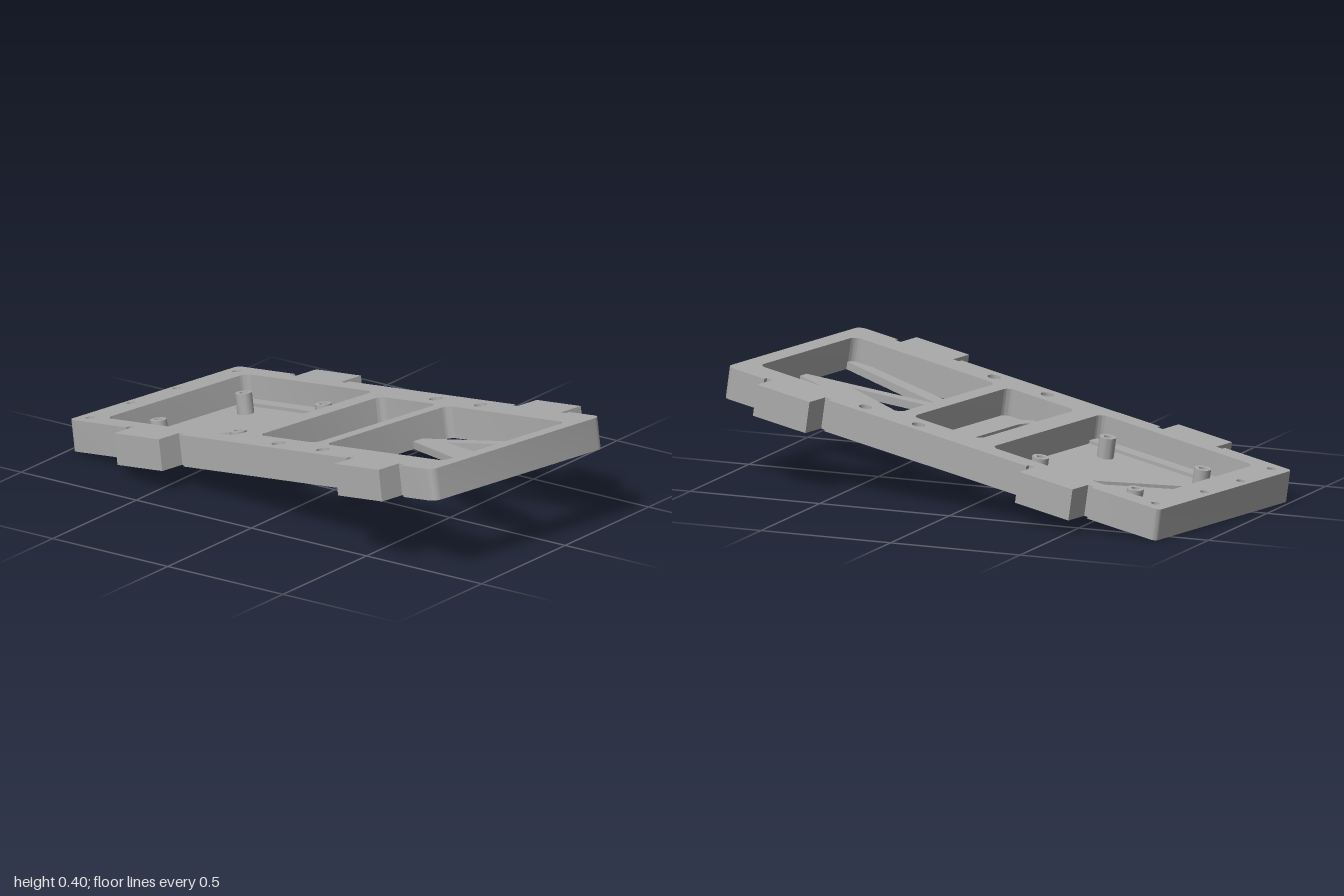
import * as THREE from 'three';
import { toCreasedNormals } from 'three/addons/utils/BufferGeometryUtils.js';

const L = 0.939, H = 0.409, TAB = 0.489, THICK = 0.115; // plate half length, half width, tab reach, thickness

export function createModel() {
  const grey = new THREE.MeshStandardMaterial({ color: 0xaaaaaa });
  grey.name = 'machined grey';
  const model = new THREE.Group();
  model.name = 'tiltedTray';

  // Extrudes a plan shape (x = length, y = width) upward from height y0
  const slab = (name, shape, y0, h) => {
    const geo = new THREE.ExtrudeGeometry(shape, { depth: h, bevelEnabled: false, curveSegments: 10 });
    geo.rotateX(Math.PI / 2).translate(0, y0 + h, 0);
    const mesh = new THREE.Mesh(toCreasedNormals(geo, 0.6), grey);
    mesh.name = name;
    model.add(mesh);
    return mesh;
  };
  const poly = (pts) => new THREE.Shape(pts.map(([x, y]) => new THREE.Vector2(x, y)));
  const disc = (x, y, r) => {
    const p = new THREE.Shape();
    p.absarc(x, y, r, 0, Math.PI * 2, false);
    return p;
  };
  const roundRect = (x0, x1, half, r) => {
    const s = new THREE.Shape();
    s.absarc(x1 - r, -half + r, r, -Math.PI / 2, 0, false);
    s.absarc(x1 - r, half - r, r, 0, Math.PI / 2, false);
    s.absarc(x0 + r, half - r, r, Math.PI / 2, Math.PI, false);
    s.absarc(x0 + r, -half + r, r, Math.PI, Math.PI * 1.5, false);
    s.closePath();
    return s;
  };

  // Frame outline: one long edge with rounded ends, tabs and relief notches, then mirrored
  const edge = [];
  const corner = (cx, start, r) => {
    for (let i = 0; i <= 5; i++) {
      const a = start + (i / 5) * Math.PI / 2;
      edge.push([cx + r * Math.cos(a), -H + r + r * Math.sin(a)]);
    }
  };
  const w = 0.025, d = 0.017;
  corner(-L + 0.02, Math.PI, 0.02);
  for (const [a, b] of [[-0.62, -0.388], [0.522, 0.75]]) {
    edge.push([a - w, -H], [a - w, -H + d], [a, -H + d], [a, -TAB],
      [b, -TAB], [b, -H + d], [b + w, -H + d], [b + w, -H]);
  }
  corner(L - 0.03, -Math.PI / 2, 0.03);
  const outline = poly([...edge, ...edge.map(([x, y]) => [x, -y]).reverse()]);

  // Three windows and the screw holes
  outline.holes.push(
    roundRect(-0.823, -0.16, 0.337, 0.03),
    roundRect(-0.079, 0.2135, 0.294, 0.03),
    roundRect(0.267, 0.879, 0.294, 0.03));
  for (const [x, y] of [[-0.885, -0.354], [-0.906, -0.084], [-0.906, 0.14], [-0.885, 0.357]])
    outline.holes.push(disc(x, y, 0.016));
  for (const [x, y] of [[0.144, -0.354], [0.375, -0.354], [0.0865, 0.354], [0.317, 0.354]])
    outline.holes.push(disc(x, y, 0.024));
  slab('frame', outline, 0, THICK);

  // Closed pocket: thin floor, raised Z-shaped rib, four hollow posts
  const postSpots = [];
  for (const x of [-0.697, -0.285]) for (const y of [-0.206, 0.206]) postSpots.push([x, y]);
  const floor = roundRect(-0.823, -0.16, 0.337, 0.03);
  postSpots.forEach(([x, y]) => floor.holes.push(disc(x, y, 0.014)));
  slab('pocketFloor', floor, 0, 0.016);
  slab('pocketRib', poly([
    [-0.823, -0.337], [-0.16, -0.337], [-0.16, -0.28], [-0.725, 0.284], [-0.16, 0.284],
    [-0.16, 0.337], [-0.823, 0.337], [-0.823, 0.3], [-0.265, -0.287], [-0.823, -0.287],
  ]), 0.016, 0.012);
  for (const [x, y] of postSpots) {
    const ring = disc(x, y, 0.03);
    ring.holes.push(disc(x, y, 0.014));
    slab('post', ring, 0.016, 0.075);
  }

  // Middle window: floor beside a round-ended slot, with a raised lip along the slot
  const slotFloor = new THREE.Shape();
  slotFloor.moveTo(0.095, -0.294);
  slotFloor.lineTo(0.2135, -0.294);
  slotFloor.lineTo(0.2135, 0.294);
  slotFloor.lineTo(-0.079, 0.294);
  slotFloor.lineTo(-0.079, 0.2);
  slotFloor.absarc(0.008, 0.2, 0.087, Math.PI, 0, true);
  slotFloor.closePath();
  slab('slotFloor', slotFloor, 0, 0.016);
  const lip = new THREE.Shape();
  lip.moveTo(0.095, -0.294);
  lip.lineTo(0.133, -0.294);
  lip.lineTo(0.133, 0.2);
  lip.absarc(0.008, 0.2, 0.125, 0, 0.85, false);
  lip.lineTo(0.008, 0.294);
  lip.absarc(0.008, 0.2, 0.087, Math.PI / 2, 0, true);
  lip.closePath();
  slab('slotLip', lip, 0.016, 0.012);

  // Open window: zigzag truss bars and edge strips
  const x0 = 0.262, x1 = 0.884;
  const bars = [
    [[x0, -0.16], [0.737, -0.294], [x1, -0.294], [x1, -0.285], [0.398, -0.154], [x0, -0.118]],
    [[x0, -0.16], [0.398, -0.154], [x1, -0.022], [x1, 0.015], [0.686, 0.027], [x0, -0.118]],
    [[x0, 0.137], [0.686, 0.027], [x1, -0.022], [x1, 0.015], [0.404, 0.144], [x0, 0.176]],
    [[x0, 0.137], [0.404, 0.144], [x1, 0.267], [x1, 0.296], [0.8, 0.296], [x0, 0.176]],
  ];
  bars.forEach((b) => slab('trussBar', poly(b), 0, 0.028));

  // Tilt along the length, then turn about the vertical
  model.rotation.set(0, -0.185, 0.155);
  model.position.set(0.0025, 0.146, -0.017);
  const root = new THREE.Group();
  root.name = 'tray';
  root.add(model);
  return root;
}
